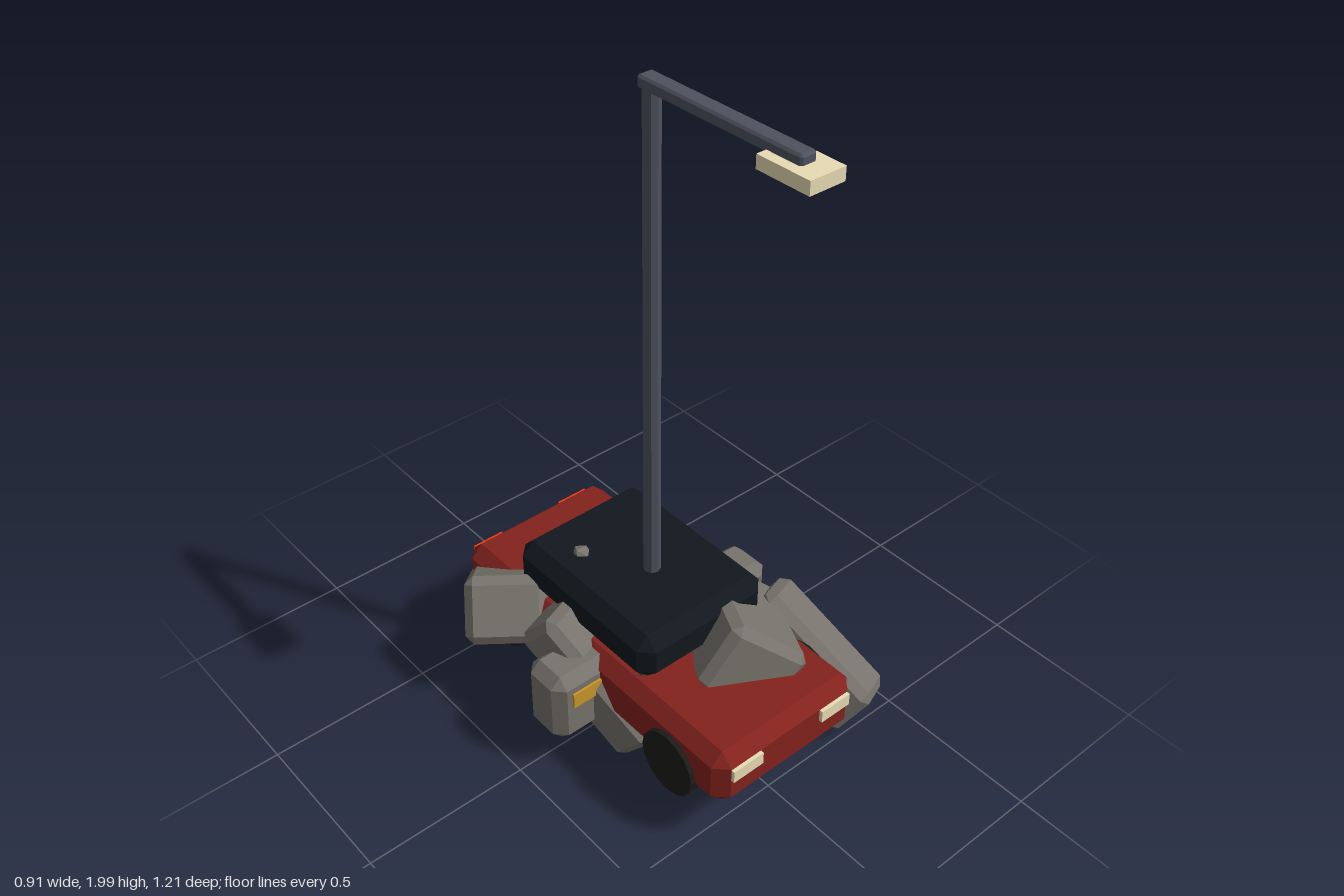
import * as THREE from 'three';
import { ConvexGeometry } from 'three/addons/geometries/ConvexGeometry.js';

const material = (color) => new THREE.MeshStandardMaterial({ color, flatShading: true });
const paint = {
  red: material(0x84221d), glass: material(0x12181e), tyre: material(0x1c1b1a),
  stone: material(0x77736c), steel: material(0x4e525e), green: material(0x3c4a3c),
  cream: material(0xe8dcb4), orange: material(0xf03a14), yellow: material(0xc8962a),
};

// Box with every edge cut at 45 degrees
function chamferBox(w, h, d, c) {
  const points = [];
  for (const sx of [-1, 1]) for (const sy of [-1, 1]) for (const sz of [-1, 1]) {
    const x = w / 2, y = h / 2, z = d / 2;
    for (const [px, py, pz] of [[x, y - c, z - c], [x - c, y, z - c], [x - c, y - c, z]]) {
      points.push(new THREE.Vector3(sx * px, sy * py, sz * pz));
    }
  }
  return new ConvexGeometry(points);
}

export function createModel() {
  const model = new THREE.Group();
  model.name = 'wreckBarricade';

  function add(name, geometry, mat, x, y, z) {
    const mesh = new THREE.Mesh(geometry, mat);
    mesh.name = name;
    mesh.position.set(x, y, z);
    model.add(mesh);
    return mesh;
  }
  const box = (name, mat, w, h, d, x, y, z) => add(name, new THREE.BoxGeometry(w, h, d), mat, x, y, z);

  // Car shell, cabin and dark underbody
  const cx = -0.02;
  add('carBody', chamferBox(0.505, 0.185, 1.15, 0.038), paint.red, cx, 0.272, 0.013);
  add('carCabin', chamferBox(0.45, 0.15, 0.585, 0.038), paint.glass, cx, 0.44, -0.038);
  box('underbody', paint.tyre, 0.42, 0.06, 0.96, cx, 0.2, 0.013);

  // Wheels and lights, mirrored about the car's centre line
  for (const side of [-1, 1]) {
    for (const [name, z] of [['frontWheel', 0.39], ['rearWheel', -0.358]]) {
      const wheel = add(name, new THREE.CylinderGeometry(0.1, 0.1, 0.1, 16), paint.tyre, cx + side * 0.217, 0.218, z);
      wheel.rotation.z = Math.PI / 2;
    }
    box('headlight', paint.cream, 0.105, 0.04, 0.02, cx + side * 0.162, 0.305, 0.589);
    box('taillight', paint.orange, 0.105, 0.04, 0.02, cx + side * 0.162, 0.305, -0.56);
  }

  // Crate buried under the car
  box('buriedCrate', paint.green, 0.4, 0.34, 0.39, cx, 0.287, 0.015);

  // Concrete barrier crossing under the car
  add('barrier', chamferBox(0.8, 0.235, 0.155, 0.032), paint.stone, cx, 0.235, 0.013);
  box('barrierStripe', paint.yellow, 0.7, 0.05, 0.165, cx, 0.275, 0.015);

  // Tilted rubble slabs: centre, direction of length, size (width, thickness, length), roll
  const slabs = [
    ['frontLeftSlab', [0.315, 0.2, 0.33], [0.2, -0.54, 0.8], [0.17, 0.18, 0.43], -0.35],
    ['rearRightSlab', [-0.24, 0.24, -0.385], [-0.47, 0.5, 0.6], [0.24, 0.2, 0.4], 0],
    ['hoodSlab', [0.105, 0.335, 0.24], [0.45, -0.2, -0.8], [0.25, 0.22, 0.42], 0.6],
    ['rearSlab', [-0.065, 0.31, -0.205], [-0.08, -0.83, 0.56], [0.19, 0.26, 0.3], 0.15],
    ['rightSlab', [-0.225, 0.235, 0.025], [0.15, -0.42, 0.42], [0.18, 0.16, 0.46], 0],
  ];
  for (const [name, centre, direction, [w, h, length], roll] of slabs) {
    const along = new THREE.Vector3(...direction).normalize();
    const across = new THREE.Vector3(0, 1, 0).cross(along).normalize();
    const up = along.clone().cross(across);
    const slab = add(name, chamferBox(w, h, length, 0.025), paint.stone, ...centre);
    slab.quaternion.setFromRotationMatrix(new THREE.Matrix4().makeBasis(across, up, along));
    slab.rotateZ(roll);
  }

  // Stone tip breaking through the roof
  add('roofStone', new THREE.IcosahedronGeometry(0.033, 0), paint.stone, -0.13, 0.5, -0.165);

  // Street lamp
  add('lampPost', new THREE.CylinderGeometry(0.023, 0.025, 1.68, 8), paint.steel, cx, 1.14, 0.017);
  add('lampArm', chamferBox(0.048, 0.034, 0.53, 0.006), paint.steel, cx, 1.983, 0.255);
  box('lampHead', paint.cream, 0.105, 0.036, 0.16, cx, 1.957, 0.496);

  return model;
}
